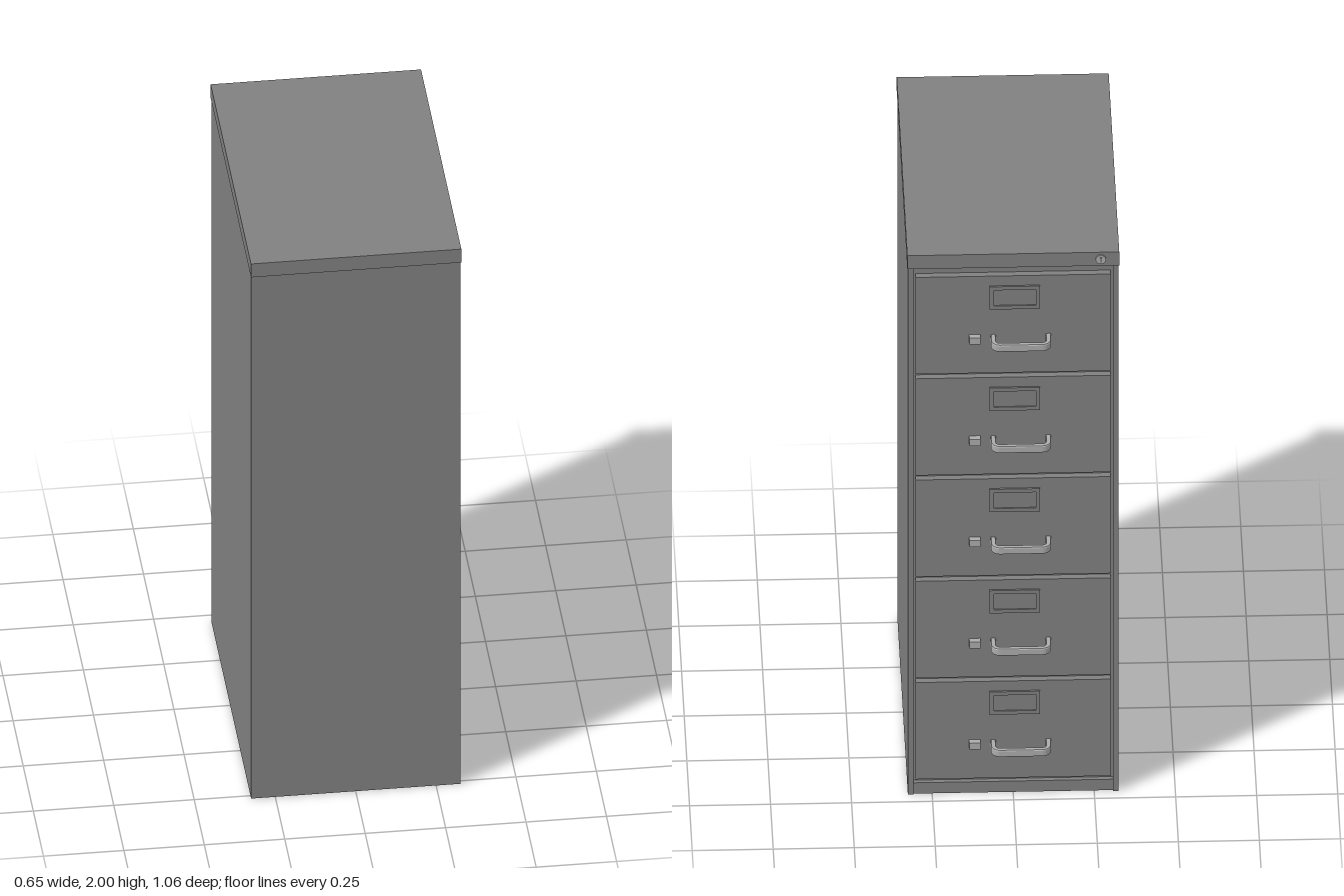
import * as THREE from 'three';

const paint = new THREE.MeshStandardMaterial({ color: 0x808080 });
paint.name = 'grey paint';
const metal = new THREE.MeshStandardMaterial({ color: 0xacacac });
metal.name = 'pale metal';

function add(parent, name, geometry, material, x, y, z) {
  const mesh = new THREE.Mesh(geometry, material);
  mesh.name = name;
  mesh.position.set(x, y, z);
  parent.add(mesh);
  return mesh;
}

// Box given by its limits on each axis
function block(parent, name, material, [x0, x1], [y0, y1], [z0, z1]) {
  return add(parent, name, new THREE.BoxGeometry(x1 - x0, y1 - y0, z1 - z0), material,
    (x0 + x1) / 2, (y0 + y1) / 2, (z0 + z1) / 2);
}

// U-shaped pull: drawn in plan, then extruded upward
function handleGeometry() {
  const shape = new THREE.Shape();
  const w = 0.093, d = 0.066, t = 0.016, r = 0.028, ri = r - t;
  shape.moveTo(-w, 0);
  shape.lineTo(-w, d - r);
  shape.absarc(-w + r, d - r, r, Math.PI, Math.PI / 2, true);
  shape.lineTo(w - r, d);
  shape.absarc(w - r, d - r, r, Math.PI / 2, 0, true);
  shape.lineTo(w, 0);
  shape.lineTo(w - t, 0);
  shape.lineTo(w - t, d - r);
  shape.absarc(w - r, d - r, ri, 0, Math.PI / 2, false);
  shape.lineTo(-w + r, d - t);
  shape.absarc(-w + r, d - r, ri, Math.PI / 2, Math.PI, false);
  shape.lineTo(-w + t, 0);
  const g = new THREE.ExtrudeGeometry(shape, {
    depth: 0.018, bevelEnabled: true, bevelThickness: 0.003, bevelSize: 0.002,
    bevelOffset: -0.002, bevelSegments: 1, curveSegments: 6,
  });
  g.translate(0, 0, -0.009);
  g.rotateX(-Math.PI / 2);
  return g;
}

// Rectangular frame that holds a label card
function labelGeometry() {
  const w = 0.078, h = 0.042, b = 0.013;
  const rect = (Type, x, y) => new Type([
    new THREE.Vector2(-x, -y), new THREE.Vector2(x, -y),
    new THREE.Vector2(x, y), new THREE.Vector2(-x, y),
  ]);
  const shape = rect(THREE.Shape, w, h);
  shape.holes.push(rect(THREE.Path, w - b, h - b));
  const g = new THREE.ExtrudeGeometry(shape, { depth: 0.008, bevelEnabled: false });
  g.rotateY(Math.PI);
  return g;
}

export function createModel() {
  const cabinet = new THREE.Group();
  cabinet.name = 'filingCabinet';

  // Carcass: core, side panels, cross rails and lid
  block(cabinet, 'core', paint, [-0.31, 0.31], [0, 1.95], [-0.44, 0.51]);
  for (const s of [-1, 1]) {
    block(cabinet, 'sidePanel', paint, [s * 0.3165 - 0.0085, s * 0.3165 + 0.0085], [0, 1.95], [-0.46, 0.516]);
  }
  block(cabinet, 'rearPanel', paint, [-0.308, 0.308], [0, 1.95], [0.51, 0.516]);
  block(cabinet, 'plinth', paint, [-0.308, 0.308], [0, 0.04], [-0.455, -0.44]);
  block(cabinet, 'lid', paint, [-0.327, 0.327], [1.95, 2], [-0.467, 0.528]);

  // Lock in the lid edge
  const lock = add(cabinet, 'lock', new THREE.CylinderGeometry(0.016, 0.016, 0.008, 20), metal, -0.27, 1.975, -0.468);
  lock.rotation.x = Math.PI / 2;
  block(cabinet, 'keySlot', paint, [-0.273, -0.267], [1.967, 1.983], [-0.4735, -0.472]);

  // Five drawers with label holder, pull and latch
  const pull = handleGeometry(), label = labelGeometry();
  for (let i = 0; i < 5; i++) {
    const drawer = new THREE.Group();
    drawer.name = 'drawer' + (i + 1);
    drawer.position.y = 0.0575 + i * 0.375;
    cabinet.add(drawer);
    block(drawer, 'drawerFront', paint, [-0.301, 0.301], [0, 0.358], [-0.462, -0.44]);
    add(drawer, 'labelHolder', label, metal, -0.005, 0.28, -0.46).material = paint;
    block(drawer, 'labelCard', paint, [-0.07, 0.06], [0.25, 0.31], [-0.464, -0.461]);
    const handle = add(drawer, 'handle', pull, metal, -0.023, 0.132, -0.462);
    handle.name = 'handle';
    // Thumb latch beside the pull
    block(drawer, 'latch', metal, [0.101, 0.136], [0.119, 0.143], [-0.482, -0.46]);
  }
  return cabinet;
}
